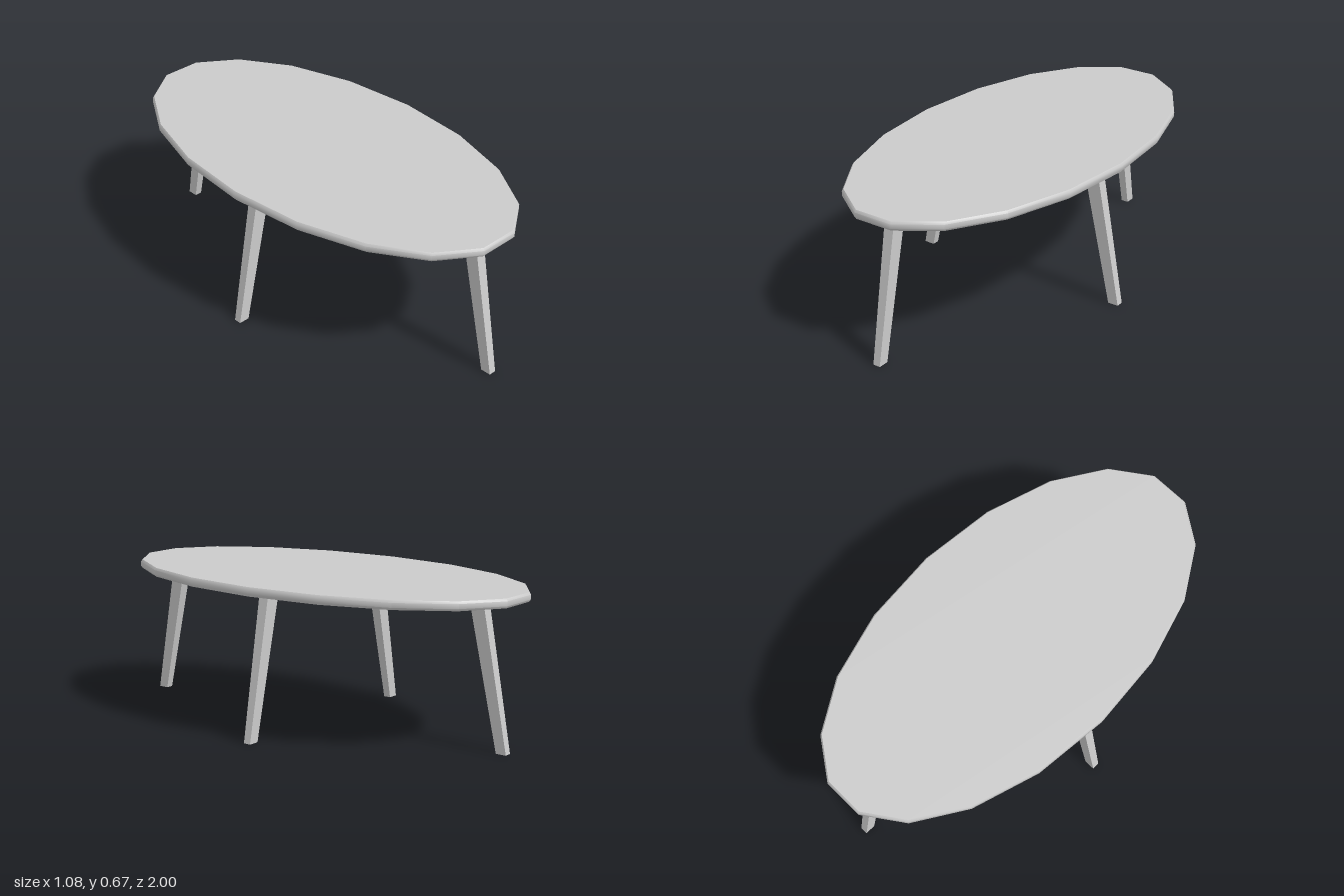
import * as THREE from 'three';
import { toCreasedNormals } from 'three/addons/utils/BufferGeometryUtils.js';

const material = new THREE.MeshStandardMaterial({ color: 0xcccccc });

// Eighteen-sided oval slab with small chamfers along both rims
function makeTabletop() {
  const points = [];
  for (let i = 0; i < 18; i++) {
    const a = (i / 18) * Math.PI * 2;
    points.push(new THREE.Vector2(0.528 * Math.cos(a), 1.007 * Math.sin(a)));
  }
  const geometry = new THREE.ExtrudeGeometry(new THREE.Shape(points), {
    depth: 0.02, bevelEnabled: true, bevelSegments: 1,
    bevelThickness: 0.01, bevelSize: 0.007, bevelOffset: -0.007,
  });
  geometry.rotateX(-Math.PI / 2);
  const mesh = new THREE.Mesh(toCreasedNormals(geometry, 0.65), material);
  mesh.position.set(0, 0.643, -0.008);
  mesh.name = 'tabletop';
  return mesh;
}

// Square leg splayed towards +x, tapering to the foot.
// foot and top give the inner and outer distance from the centre.
function makeLeg(name, foot, top, angle, z) {
  const geometry = new THREE.BoxGeometry(1, 1, 1);
  const p = geometry.attributes.position;
  for (let i = 0; i < p.count; i++) {
    const isTop = p.getY(i) > 0;
    const reach = (isTop ? top : foot)[p.getX(i) > 0 ? 1 : 0];
    const halfWidth = isTop ? 0.024 : 0.017;
    p.setXYZ(i, reach, isTop ? 0.636 : 0, Math.sign(p.getZ(i)) * halfWidth);
  }
  geometry.computeVertexNormals();
  const mesh = new THREE.Mesh(geometry, material);
  mesh.rotation.y = angle;
  mesh.position.z = z;
  mesh.name = name;
  return mesh;
}

export function createModel() {
  const table = new THREE.Group();
  table.name = 'ovalTable';
  table.add(makeTabletop());

  // Legs at the two sides and the two ends
  const sideFoot = [0.489, 0.538], sideTop = [0.348, 0.417];
  const endFoot = [0.935, 0.983], endTop = [0.795, 0.862];
  table.add(
    makeLeg('leftLeg', sideFoot, sideTop, 0, -0.008),
    makeLeg('rightLeg', sideFoot, sideTop, Math.PI, -0.008),
    makeLeg('frontLeg', endFoot, endTop, -Math.PI / 2, 0.017),
    makeLeg('backLeg', endFoot, endTop, Math.PI / 2, 0.017),
  );
  return table;
}
